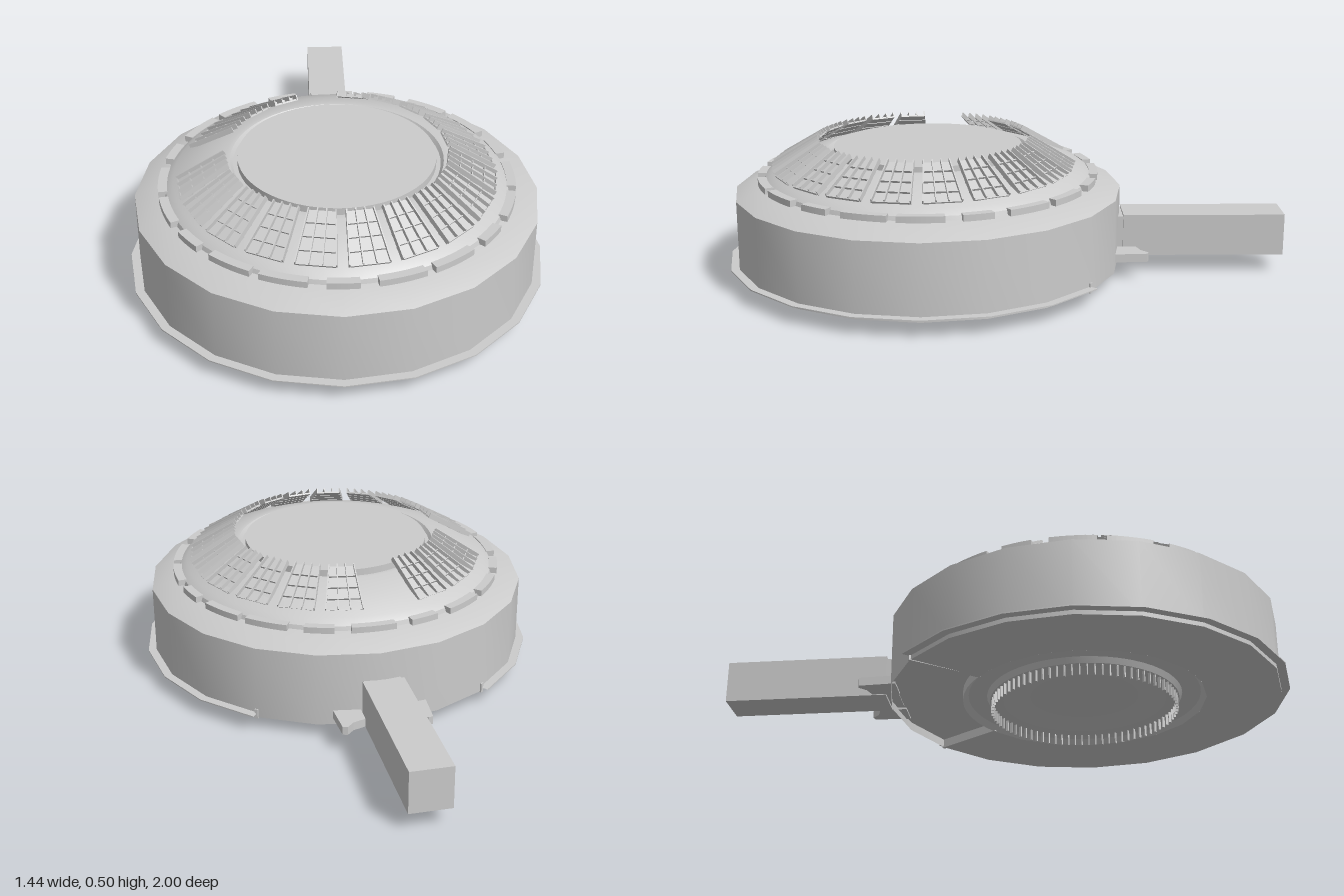
import * as THREE from 'three';
import { mergeGeometries, toCreasedNormals } from 'three/addons/utils/BufferGeometryUtils.js';

const grey = new THREE.MeshStandardMaterial({ color: 0xcccccc, side: THREE.DoubleSide });
const deg = THREE.MathUtils.degToRad;

function add(parent, name, geometry) {
  const mesh = new THREE.Mesh(geometry, grey);
  mesh.name = name;
  parent.add(mesh);
  return mesh;
}

// Turned part from [radius, height] pairs; angles start at +z and run towards +x
function turned(profile, segments, start = 0, sweep = 360) {
  const points = profile.map(([r, y]) => new THREE.Vector2(r, y));
  const g = new THREE.LatheGeometry(points, segments, deg(start), deg(sweep));
  return toCreasedNormals(g, deg(25));
}

function box(w, h, d, x, y, z) {
  return new THREE.BoxGeometry(w, h, d).translate(x, y, z);
}

// Curved block lying flat, spanning an arc centred on an angle
function arcBlock(inner, outer, height, centre, span) {
  const a = deg(centre - span / 2 - 90), b = deg(centre + span / 2 - 90);
  const shape = new THREE.Shape();
  shape.absarc(0, 0, outer, a, b, false);
  shape.absarc(0, 0, inner, b, a, true);
  const g = new THREE.ExtrudeGeometry(shape, { depth: height, bevelEnabled: false, curveSegments: 5 });
  return g.rotateX(-Math.PI / 2).rotateY(Math.PI);
}

// Sloping lattice panel: tapered rows of tiles crossed by upright fins
function panelGeometry(tiled) {
  const parts = [];
  const length = 0.19, rows = 4;
  for (let i = 0; i < rows; i++) {
    const t = (i + 0.5) / rows;
    const z = (t - 0.5) * length;
    const width = 0.085 + 0.045 * t;
    if (tiled) parts.push(box(width, 0.006, length / rows - 0.006, 0, -0.006, z));
    parts.push(box(width, 0.008, 0.004, 0, 0, z + length / rows / 2));
  }
  for (const s of [-1, -0.33, 0.33, 1]) {
    const fin = box(0.004, 0.018, length, 0, 0.002, 0);
    fin.rotateY(s * 0.115).translate(s * 0.054, 0, 0);
    parts.push(fin);
  }
  const g = mergeGeometries(parts);
  g.rotateX(deg(31)).translate(0, 0.445, 0.453);
  return g;
}

export function createModel() {
  const model = new THREE.Group();
  model.name = 'saucer';
  const body = new THREE.Group();
  body.name = 'body';
  body.position.z = 0.28;
  model.add(body);

  // Twenty-sided drum with sloping shoulder
  add(body, 'drum', turned([[0.69, 0.045], [0.69, 0.31], [0.595, 0.35], [0.56, 0.352]], 20));

  // Thin skirt, open at the back where the arm joins
  add(body, 'skirt', turned([[0.68, 0.06], [0.72, 0.06], [0.72, 0.064], [0.68, 0.064]], 16, 216, 288));

  // Shallow upper dome and flat cap
  add(body, 'dome', turned([[0.585, 0.35], [0.58, 0.365], [0.555, 0.385], [0.46, 0.425],
    [0.375, 0.452], [0.36, 0.452], [0.35, 0.44], [0.33, 0.44]], 60));
  add(body, 'cap', new THREE.CylinderGeometry(0.335, 0.335, 0.025, 60).translate(0, 0.4525, 0));

  // Ring of curved blocks around the foot of the dome
  const blocks = [];
  for (let i = 0; i < 20; i++) {
    blocks.push(arcBlock(0.575, 0.606, 0.022, i * 18, i % 3 === 1 ? 10 : 15).translate(0, 0.35, 0));
  }
  add(body, 'blockRing', mergeGeometries(blocks));

  // Lattice panels; some places are bare and some have no tiles
  const panels = new THREE.Group();
  panels.name = 'panels';
  panels.position.z = 0.015;
  body.add(panels);
  const full = panelGeometry(true), bare = panelGeometry(false);
  for (let i = 0; i < 20; i++) {
    const angle = 9 + i * 18;
    if (angle === 189 || angle === 261) continue;
    const tiled = angle !== 243;
    add(panels, 'panel', tiled ? full : bare).rotation.y = deg(angle);
  }

  // Underside: flat outer floor, raised in the back sector, with two step walls
  add(body, 'floor', turned([[0.43, 0.042], [0.69, 0.045]], 16, 216, 288));
  add(body, 'backFloor', turned([[0.43, 0.075], [0.69, 0.075]], 4, 144, 72));
  for (const angle of [144, 216]) {
    add(body, 'floorStep', box(0.012, 0.035, 0.27, 0, 0.06, 0.56)).rotation.y = deg(angle);
  }

  // Rounded groove and dished hub beneath
  add(body, 'hub', turned([[0, 0.07], [0.16, 0.066], [0.25, 0.052], [0.30, 0.04], [0.335, 0.04],
    [0.345, 0.06], [0.375, 0.07], [0.41, 0.06], [0.43, 0.042], [0.43, 0.075]], 48));

  // Fine teeth hanging below the hub
  const teeth = [];
  for (let i = 0; i < 80; i++) {
    teeth.push(box(0.004, 0.045, 0.01, 0, 0.0225, 0.325).rotateY((i / 80) * Math.PI * 2));
  }
  add(body, 'teeth', mergeGeometries(teeth));

  // Straight arm at the back
  add(model, 'arm', box(0.145, 0.15, 0.58, -0.0075, 0.14, -0.71));
  add(model, 'armSocket', box(0.13, 0.135, 0.06, -0.0075, 0.14, -0.405));

  // Flared brackets either side of the arm
  for (const side of [-1, 1]) {
    const shape = new THREE.Shape([[0.07, -0.37], [0.165, -0.37], [0.162, -0.42], [0.157, -0.5],
      [0.14, -0.505], [0.115, -0.48], [0.07, -0.465]].map(([x, z]) => new THREE.Vector2(side * x, -z)));
    const g = new THREE.ExtrudeGeometry(shape, { depth: 0.03, bevelEnabled: false });
    add(model, 'bracket', g.rotateX(-Math.PI / 2).translate(-0.004, 0.068, 0));
  }
  return model;
}
